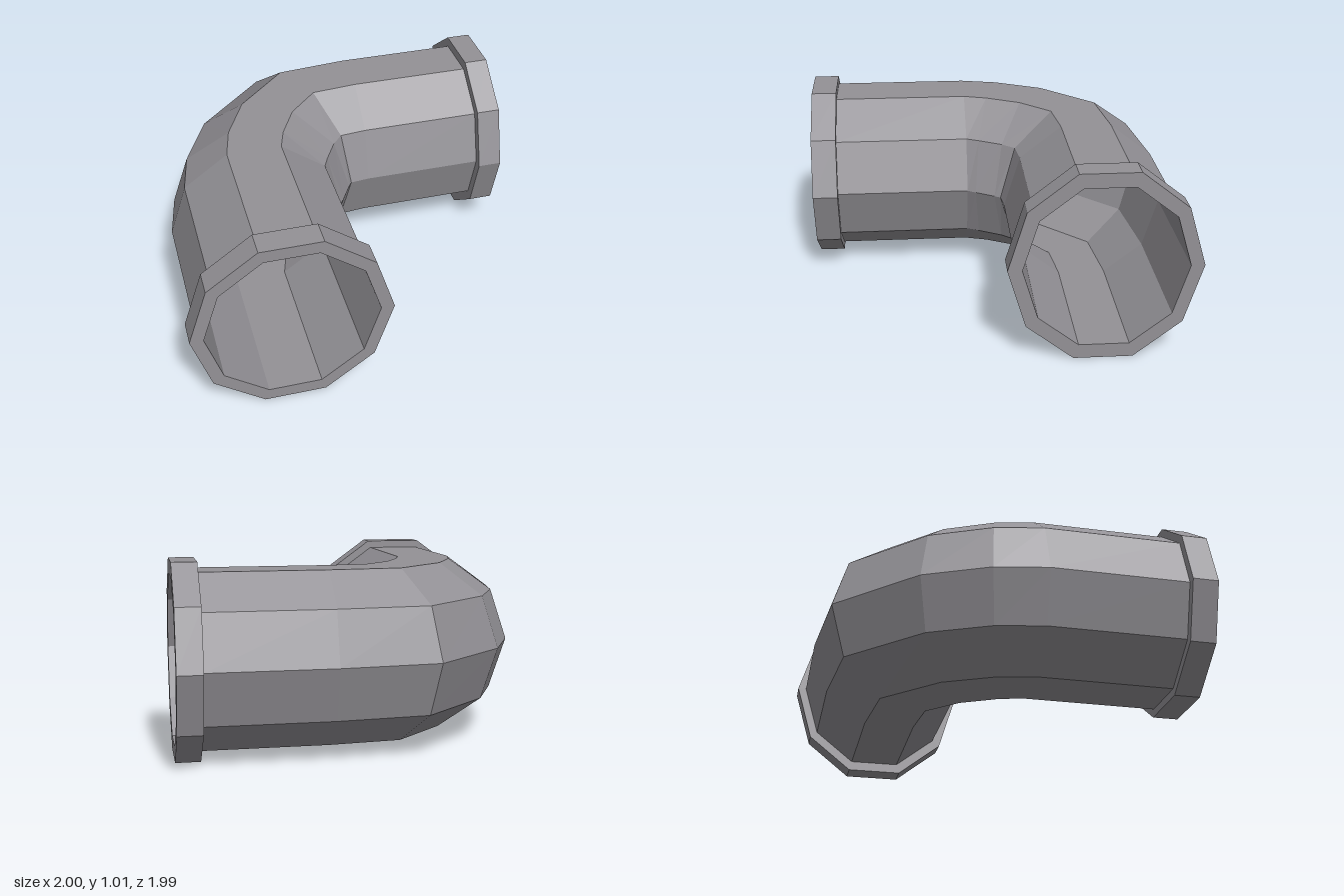
import * as THREE from 'three';

const SIDES = 10, AXIS_Y = 0.505;

// A ring is [outer bend x, z, inner bend x, z, vertical radius].
function ringPoint([x0, z0, x1, z1, ry], k) {
  const a = (k / SIDES) * Math.PI * 2;
  const t = (1 - Math.cos(a)) / 2;
  return [x0 + (x1 - x0) * t, AXIS_Y + ry * Math.sin(a), z0 + (z1 - z0) * t];
}

// Shrinks a ring about its centre for the inside wall.
function inset([x0, z0, x1, z1, ry], s = 0.947) {
  const cx = (x0 + x1) / 2, cz = (z0 + z1) / 2;
  return [cx + (x0 - cx) * s, cz + (z0 - cz) * s, cx + (x1 - cx) * s, cz + (z1 - cz) * s, ry * s];
}

// Joins successive rings with flat faces.
function loft(name, rings, material) {
  const pos = [];
  for (let j = 0; j < rings.length - 1; j++) {
    for (let k = 0; k < SIDES; k++) {
      const a = ringPoint(rings[j], k), b = ringPoint(rings[j], k + 1);
      const c = ringPoint(rings[j + 1], k), d = ringPoint(rings[j + 1], k + 1);
      pos.push(...a, ...b, ...c, ...b, ...d, ...c);
    }
  }
  const geometry = new THREE.BufferGeometry();
  geometry.setAttribute('position', new THREE.Float32BufferAttribute(pos, 3));
  geometry.computeVertexNormals();
  const mesh = new THREE.Mesh(geometry, material);
  mesh.name = name;
  return mesh;
}

export function createModel() {
  const metal = new THREE.MeshStandardMaterial({ color: 0x939196 });
  metal.name = 'grey metal';
  metal.flatShading = true;

  const R = 0.476;
  const frontRing = (z) => [-0.955, z, -0.005, z, R];
  const rightRing = (x) => [x, -0.948, x, -0.064, R];
  const frontCollar = (z) => [-1, z, 0.04, z, 0.52];
  const rightCollar = (x) => [x, -0.995, x, -0.013, 0.531];

  // Elbow between the two straight runs
  const bend = [
    frontRing(0.125),
    [-0.9, -0.155, 0.024, 0.08, R],
    [-0.74, -0.495, 0.084, -0.022, R],
    [-0.32, -0.9, 0.105, -0.053, R],
    rightRing(0.21),
  ];
  const frontEnd = 0.995, frontBack = 0.857, rightEnd = 1, rightBack = 0.87;

  const outer = [frontRing(frontBack), ...bend, rightRing(rightBack)];
  const inner = [frontRing(frontEnd), ...bend, rightRing(rightEnd)].map((r) => inset(r));

  const group = new THREE.Group();
  group.name = 'pipeElbow';
  group.add(
    loft('pipeOuterWall', outer, metal),
    loft('pipeInnerWall', [...inner].reverse(), metal),
    // Collars: end face, rim, back face
    loft('frontCollar', [inner[0], frontCollar(frontEnd), frontCollar(frontBack), outer[0]], metal),
    loft('rightCollar', [outer.at(-1), rightCollar(rightBack), rightCollar(rightEnd), inner.at(-1)], metal),
  );
  return group;
}
